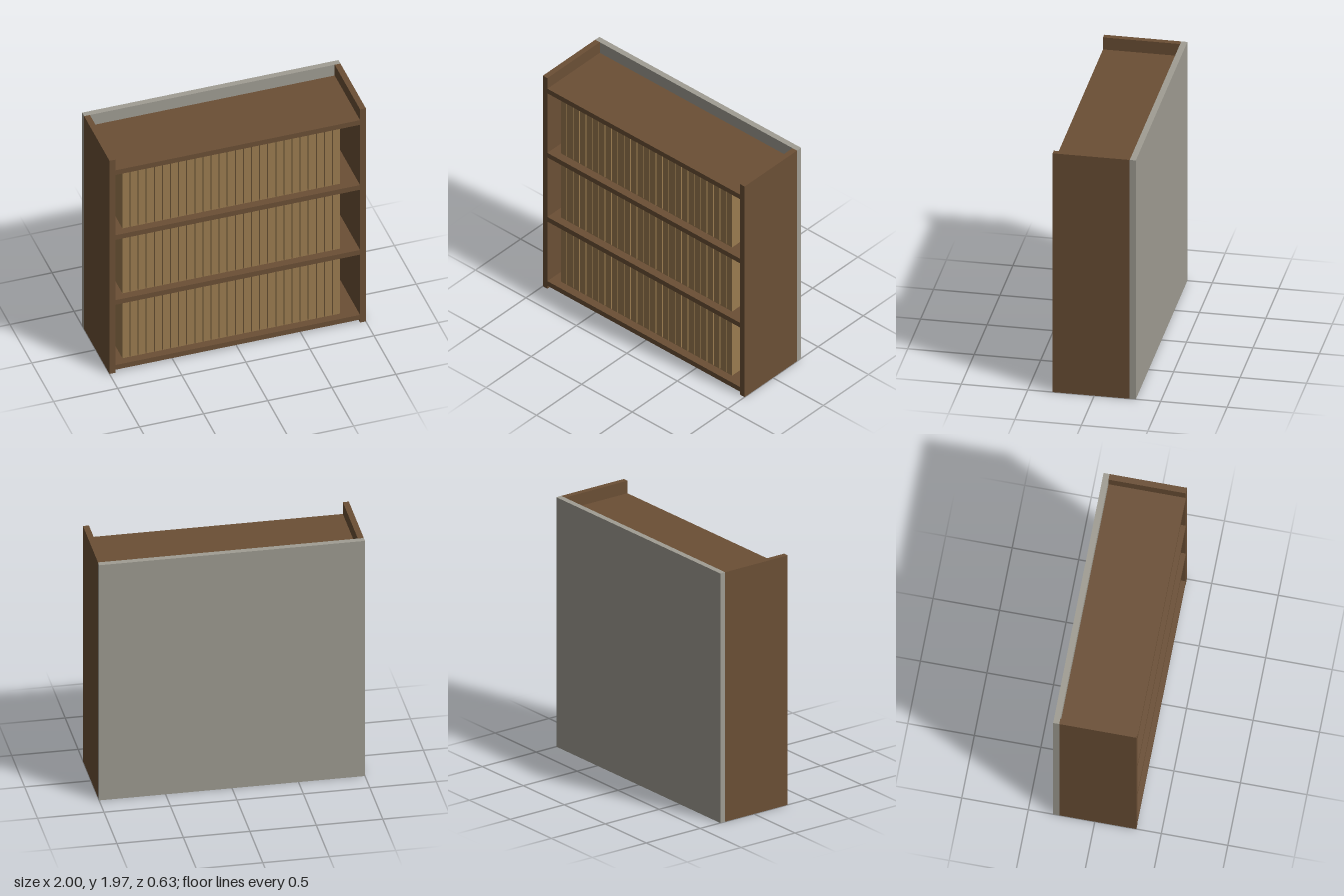
import * as THREE from 'three';

export function createModel() {
  const group = new THREE.Group();

  const material = (name, color) => {
    const m = new THREE.MeshStandardMaterial({ color });
    m.name = name;
    return m;
  };
  const wood = material('brown wood', 0x6b4f35);
  const backing = material('grey backing', 0xa09d93);
  const paper = material('tan book', 0x9a7b4f);

  // Box given by its lower and upper corners
  const box = (name, mat, [x0, y0, z0], [x1, y1, z1], parent = group) => {
    const mesh = new THREE.Mesh(new THREE.BoxGeometry(x1 - x0, y1 - y0, z1 - z0), mat);
    mesh.position.set((x0 + x1) / 2, (y0 + y1) / 2, (z0 + z1) / 2);
    mesh.name = name;
    parent.add(mesh);
  };

  const height = 1.97, front = 0.313, back = -0.313, inner = -0.267, side = 0.955;

  // Case: back panel across the full width, two side panels in front of it
  box('backPanel', backing, [-1, 0, back], [1, height, inner]);
  box('leftSide', wood, [side, 0, inner], [1, height, front]);
  box('rightSide', wood, [-1, 0, inner], [-side, height, front]);

  // Four shelves, the lower three each holding a row of books
  const bookCount = 27, pitch = 0.0632, bookWidth = 0.055;
  for (let s = 0; s < 4; s++) {
    const y = 0.028 + s * 0.6, top = y + 0.043;
    box(`shelf${s + 1}`, wood, [-side, y, inner], [side, top, front]);
    if (s === 3) continue;

    const row = new THREE.Group();
    row.name = `bookRow${s + 1}`;
    group.add(row);
    for (let i = 0; i < bookCount; i++) {
      const x = -0.878 + i * pitch;
      box(`book${i + 1}`, paper, [x, top, -0.2], [x + bookWidth, top + 0.525, 0.25], row);
    }
  }
  return group;
}
